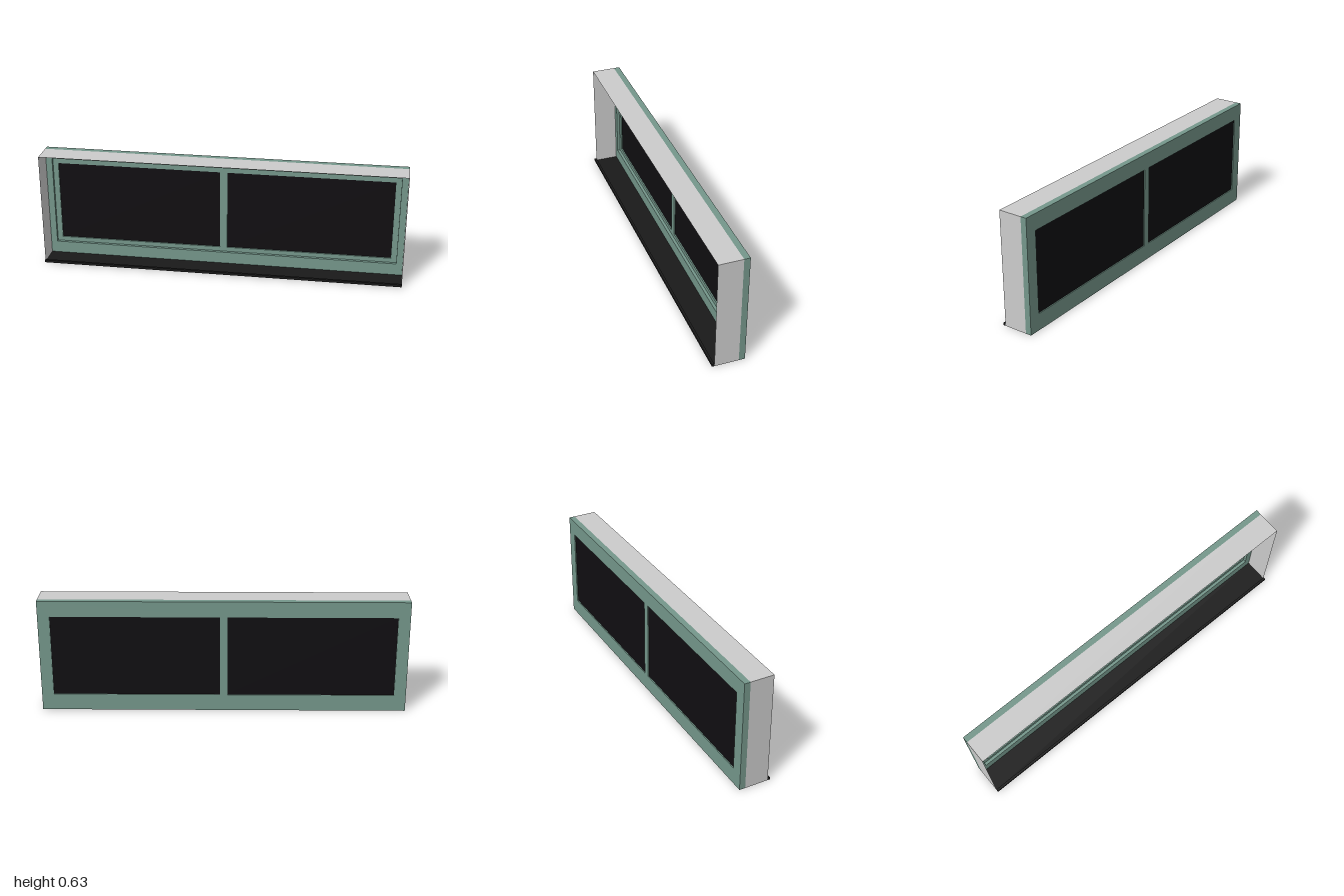
import * as THREE from 'three';

const H = 0.633, BACK = -0.088, STEP = -0.071, FRONT = -0.055, REVEAL = 0.076, LIP = 0.089;

const material = (color, side = THREE.FrontSide) => new THREE.MeshStandardMaterial({ color, side });

// Traces a rectangle on a Shape or Path
function rect(path, x0, y0, x1, y1) {
  path.moveTo(x0, y0);
  path.lineTo(x1, y0);
  path.lineTo(x1, y1);
  path.lineTo(x0, y1);
  path.closePath();
  return path;
}

// Rectangular plate with rectangular holes, between two depths
function plate(outer, holes, z0, z1) {
  const shape = rect(new THREE.Shape(), ...outer);
  for (const h of holes) shape.holes.push(rect(new THREE.Path(), ...h));
  const g = new THREE.ExtrudeGeometry(shape, { depth: z1 - z0, bevelEnabled: false });
  return g.translate(0, 0, z0);
}

export function createModel() {
  const group = new THREE.Group();
  const green = material(0x75978b);
  const grey = material(0xcccccc, THREE.DoubleSide);
  const black = material(0x1a1a1a, THREE.DoubleSide);
  const dark = material(0x100e11);

  const add = (name, geometry, mat, x = 0, y = 0, z = 0) => {
    const mesh = new THREE.Mesh(geometry, mat);
    mesh.name = name;
    mesh.position.set(x, y, z);
    group.add(mesh);
    return mesh;
  };

  // Frame: a back layer with two panes and a mullion, a stepped border in front
  const panes = [[-0.935, 0.092, -0.02, 0.545], [0.02, 0.092, 0.935, 0.545]];
  add('sashFrame', plate([-1, 0, 1, H], panes, BACK, STEP), green);
  add('outerFrame', plate([-1, 0, 1, H], [[-0.965, 0.067, 0.965, 0.577]], STEP, FRONT), green);

  // Glass, slightly recessed on both faces
  panes.forEach(([x0, y0, x1, y1], i) => {
    add(i ? 'leftGlass' : 'rightGlass', new THREE.BoxGeometry(x1 - x0, y1 - y0, 0.004),
      dark, (x0 + x1) / 2, (y0 + y1) / 2, -0.08);
  });

  // Thin reveal lining: two sides and the head
  const depth = REVEAL - FRONT, mid = (REVEAL + FRONT) / 2;
  for (const s of [-1, 1]) {
    const side = add(s > 0 ? 'leftReveal' : 'rightReveal', new THREE.PlaneGeometry(depth, H), grey, s, H / 2, mid);
    side.rotation.y = s * Math.PI / 2;
  }
  const head = add('headReveal', new THREE.PlaneGeometry(2, depth), grey, 0, H, mid);
  head.rotation.x = -Math.PI / 2;

  // Sill sheet with a raised lip at the front
  const sill = add('sill', new THREE.PlaneGeometry(2, depth), black, 0, 0, mid);
  sill.rotation.x = -Math.PI / 2;
  add('sillLip', new THREE.BoxGeometry(2, 0.014, LIP - REVEAL), black, 0, 0.007, (LIP + REVEAL) / 2);

  return group;
}
